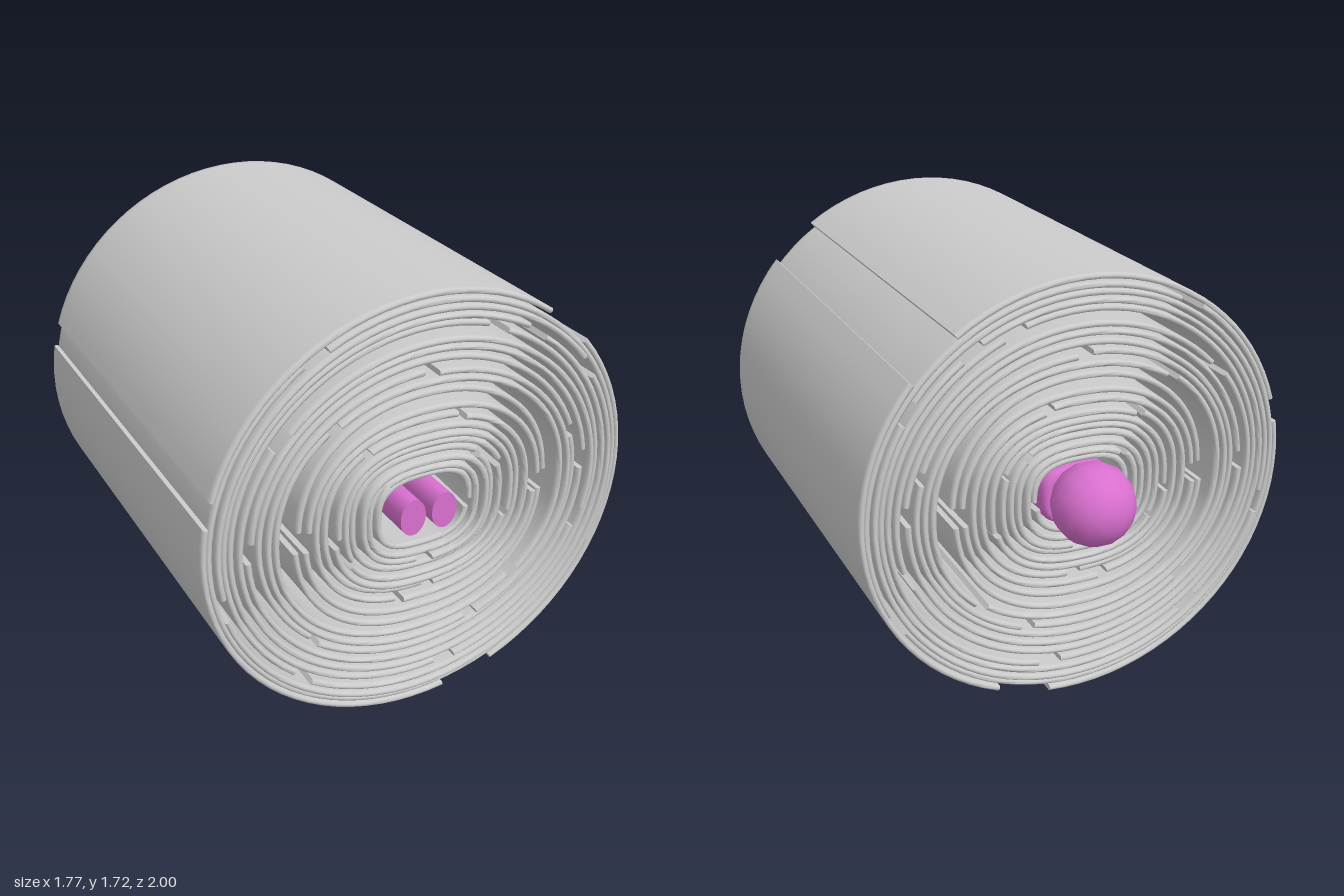
import * as THREE from 'three';
import { toCreasedNormals } from 'three/addons/utils/BufferGeometryUtils.js';

const CY = 0.86;          // height of the roll axis
const HALF = 0.0105;      // half thickness of the cloth
const rad = THREE.MathUtils.degToRad;

// Half widths and half heights of the wraps, from the core outwards
const WIDTHS = [.19, .225, .26, .295, .33, .365, .405, .445, .485, .52,
  .60, .635, .67, .705, .74, .775, .805, .83, .852, .874];
const HEIGHTS = [.145, .175, .205, .235, .27, .30, .33, .37, .415, .475,
  .52, .56, .60, .64, .675, .725, .755, .79, .82, .849];

// Point on a rounded-square curve
function curvePoint(a, rx, ry, n) {
  const c = Math.cos(a), s = Math.sin(a);
  return [
    Math.sign(c) * rx * Math.abs(c) ** (2 / n),
    Math.sign(s) * ry * Math.abs(s) ** (2 / n),
  ];
}

// One curved sheet of cloth: a thin rounded profile swept from angle a0 to a1
function sheetGeometry({ rx, ry, n, a0, a1, z0, z1, bulge, creep }) {
  const rows = [[z0, .35], [z0 + .006, 1], [z0 + .025, 1]];
  if (bulge > 0) {
    for (let k = 1; k < 6; k++) rows.push([z0 + (z1 - z0) * k / 6, 1]);
  }
  rows.push([z1 - .025, 1], [z1 - .006, 1], [z1, .35]);
  const lift = z => bulge * Math.sin(Math.PI * (z - z0) / (z1 - z0));
  const outer = rows.map(([z, t]) => [lift(z) + t * HALF, z]);
  const inner = rows.map(([z, t]) => [lift(z) - t * HALF, z]).reverse();
  const profile = [...outer, ...inner];
  const P = profile.length, M = rows.length;
  const steps = Math.max(6, Math.ceil((a1 - a0) / rad(4.5)));
  const pos = [], idx = [];

  for (let i = 0; i <= steps; i++) {
    const a = a0 + (a1 - a0) * i / steps;
    const grow = creep * (.5 - i / steps);
    for (const [d, z] of profile) {
      const [x, y] = curvePoint(a, rx + d + grow, ry + d + grow, n);
      pos.push(x, y, z);
    }
  }
  const quad = (a, b, c, d) => idx.push(a, b, c, a, c, d);
  for (let i = 0; i < steps; i++) {
    for (let j = 0; j < P; j++) {
      const k = (j + 1) % P;
      quad(i * P + j, (i + 1) * P + j, (i + 1) * P + k, i * P + k);
    }
  }
  // End caps
  const e = steps * P;
  for (let j = 0; j < M - 1; j++) {
    const q = [j, j + 1, P - 2 - j, P - 1 - j];
    quad(...q);
    quad(...q.reverse().map(v => v + e));
  }
  const g = new THREE.BufferGeometry();
  g.setAttribute('position', new THREE.Float32BufferAttribute(pos, 3));
  g.setIndex(idx);
  return toCreasedNormals(g, .9);
}

// Angle ranges (degrees) covered by the pieces of wrap i
function pieces(i) {
  const last = WIDTHS.length - 1;
  if (i === last) return [[-67, 40], [55, 163], [170, 278]];
  if (i < 4) return [[(i * 137) % 360, (i * 137) % 360 + 352]];
  if (i === 8 || i === 9) return [[4, 176], [184, 356]];
  const start = (i * 137.5 + 20) % 360;
  const split = start + 150 + (i % 3) * 25;
  const gap = i > 12 ? 7 : 5;
  return [[start, split - gap], [split, start + 360 - gap]];
}

export function createModel() {
  const model = new THREE.Group();
  const cloth = new THREE.MeshStandardMaterial({ color: 0xcccccc });
  const skin = new THREE.MeshStandardMaterial({ color: 0xda70d0 });

  // Rolled blanket
  const blanket = new THREE.Group();
  blanket.name = 'rolledBlanket';
  blanket.position.y = CY;
  const last = WIDTHS.length - 1;
  WIDTHS.forEach((rx, i) => {
    const f = i / last;
    const inset = i === last ? 0 : (i % 3) * .004;
    const wrap = new THREE.Group();
    wrap.name = `wrap${i + 1}`;
    for (const [from, to] of pieces(i)) {
      const sheet = new THREE.Mesh(sheetGeometry({
        rx, ry: HEIGHTS[i],
        n: 2 + .8 * Math.max(0, 1 - f * 1.6),
        a0: rad(from), a1: rad(to),
        z0: -.745 - inset, z1: .97 + inset * 1.8,
        bulge: i < 9 ? .035 * (1 - i / 10) : 0,
        creep: i === last ? 0 : .012,
      }), cloth);
      sheet.name = 'blanketSheet';
      wrap.add(sheet);
    }
    blanket.add(wrap);
  });
  model.add(blanket);

  // Wrapped figure
  const figure = new THREE.Group();
  figure.name = 'figure';
  figure.position.y = CY;
  const add = (name, geometry, x, y, z) => {
    const mesh = new THREE.Mesh(geometry, skin);
    mesh.name = name;
    mesh.position.set(x, y, z);
    figure.add(mesh);
  };

  add('head', new THREE.SphereGeometry(.163, 14, 10).rotateX(Math.PI / 2), 0, 0, -.837);

  // Torso with a rounded-square section
  const outline = [];
  for (let k = 0; k < 32; k++) {
    outline.push(new THREE.Vector2(...curvePoint(k / 32 * Math.PI * 2, .13, .10, 3.2)));
  }
  const torso = new THREE.ExtrudeGeometry(new THREE.Shape(outline), {
    depth: .72, bevelSize: .02, bevelThickness: .04, bevelSegments: 4,
  });
  add('torso', toCreasedNormals(torso, .7), 0, -.012, -.68);

  // Legs ending in flat feet
  for (const side of [-1, 1]) {
    const leg = new THREE.CylinderGeometry(.053, .053, 1, 24).rotateX(Math.PI / 2).scale(1, 1.4, 1);
    add(side > 0 ? 'leftLeg' : 'rightLeg', leg, side * .066, 0, .5);
  }
  model.add(figure);
  return model;
}
